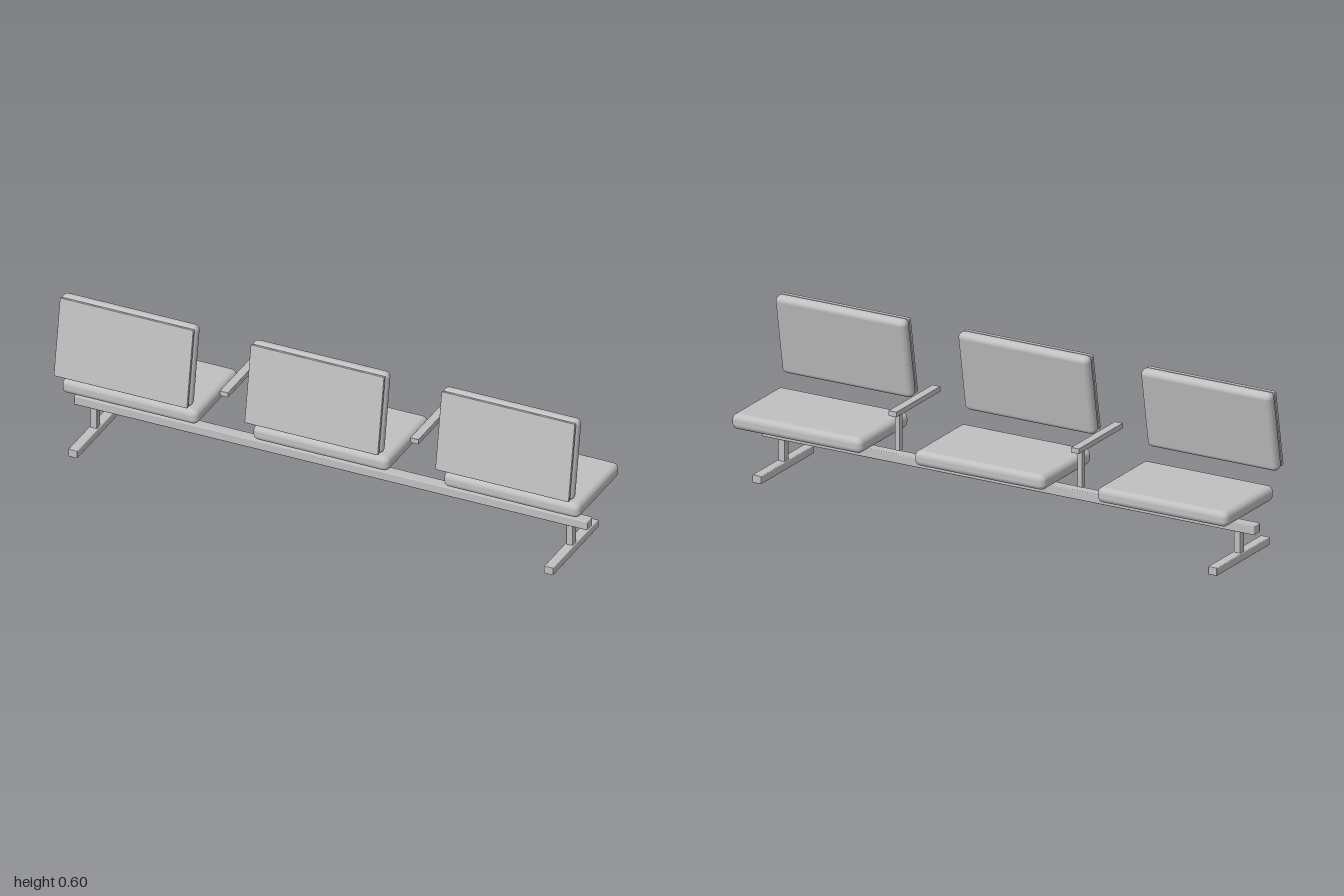
import * as THREE from 'three';
import { RoundedBoxGeometry } from 'three/addons/geometries/RoundedBoxGeometry.js';

const grey = new THREE.MeshStandardMaterial({ color: 0xc0c0c0 });
grey.name = 'grey';

// Box with rounded edges, placed by its centre
function block(name, size, position, radius, segments = 1) {
  const mesh = new THREE.Mesh(new RoundedBoxGeometry(...size, segments, radius), grey);
  mesh.name = name;
  mesh.position.set(...position);
  return mesh;
}

// Seat cushion with a leaning back cushion and its thin rear panel
function createSeat() {
  const seat = new THREE.Group();
  seat.name = 'seatUnit';
  seat.add(block('seatCushion', [0.526, 0.057, 0.338], [0, 0.229, -0.036], 0.022, 4));

  const back = new THREE.Group();
  back.name = 'backrest';
  back.position.set(0, 0.45, 0.141);
  back.rotation.x = THREE.MathUtils.degToRad(-10);
  back.add(
    block('backCushion', [0.526, 0.306, 0.045], [0, 0, 0], 0.02, 4),
    block('backPanel', [0.516, 0.294, 0.014], [0, -0.002, 0.029], 0.003)
  );
  seat.add(back);
  return seat;
}

// Flat arm on a single post
function createArmrest() {
  const armrest = new THREE.Group();
  armrest.name = 'armrest';
  armrest.add(
    block('armPad', [0.033, 0.02, 0.304], [0, 0.362, -0.015], 0.002),
    block('armPost', [0.02, 0.138, 0.021], [0, 0.285, -0.124], 0.001)
  );
  return armrest;
}

// Short post on a long floor bar
function createLeg() {
  const leg = new THREE.Group();
  leg.name = 'leg';
  leg.add(
    block('legPost', [0.026, 0.088, 0.028], [0, 0.07, 0.023], 0.002),
    block('floorBar', [0.036, 0.03, 0.367], [0, 0.015, 0.022], 0.003)
  );
  return leg;
}

export function createModel() {
  const bench = new THREE.Group();
  bench.name = 'bench';

  // Long beam under all the seats
  bench.add(block('beam', [1.984, 0.035, 0.043], [0, 0.127, 0.023], 0.004));

  const place = (part, x) => {
    part.position.x = x;
    bench.add(part);
  };
  for (const x of [-0.737, 0, 0.737]) place(createSeat(), x);
  for (const side of [-1, 1]) {
    place(createArmrest(), side * 0.368);
    place(createLeg(), side * 0.919);
  }
  return bench;
}
